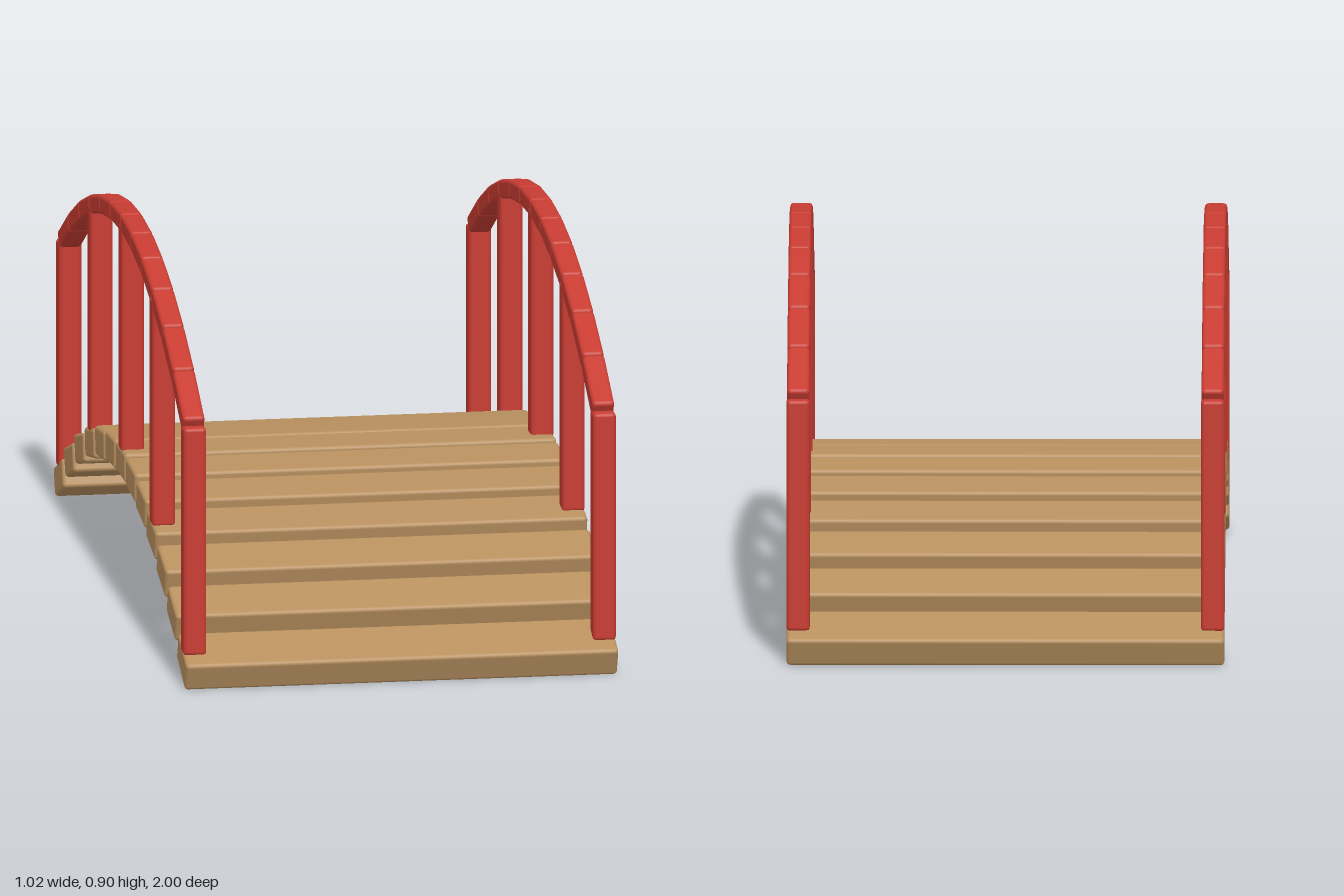
import * as THREE from 'three';
import { RoundedBoxGeometry } from 'three/addons/geometries/RoundedBoxGeometry.js';

const END = 0.925;      // z of the last plank
const DROP = 0.257;     // fall of the arch from middle to end
const arch = (z) => -DROP * (z / END) ** 2;

export function createModel() {
  const bridge = new THREE.Group();
  bridge.name = 'archedFootbridge';
  const wood = new THREE.MeshStandardMaterial({ color: 0xb8905f });
  const red = new THREE.MeshStandardMaterial({ color: 0xc83c32 });

  // Block with small softened edges
  function block(name, material, size, position, tilt = 0) {
    const mesh = new THREE.Mesh(new RoundedBoxGeometry(...size, 2, 0.009), material);
    mesh.name = name;
    mesh.position.set(...position);
    mesh.rotation.x = tilt;
    bridge.add(mesh);
  }

  // Deck: 13 separate planks, tilting more towards the ends
  for (let i = -6; i <= 6; i++) {
    const z = (i / 6) * END;
    const tilt = THREE.MathUtils.degToRad(22) * (i / 6);
    block('plank', wood, [1.016, 0.07, 0.136], [0, 0.315 + arch(z), z], tilt);
  }

  for (const side of [-1, 1]) {
    // Five upright posts
    for (let i = -2; i <= 2; i++) {
      const z = (i / 2) * 0.935;
      const bottom = 0.342 + arch(z);
      const top = 0.885 + arch(z);
      block('post', red, [0.054, top - bottom, 0.054], [side * 0.481, (top + bottom) / 2, z]);
    }

    // Handrail: 12 straight pieces following the arch
    for (let i = -6; i < 6; i++) {
      const z0 = (i / 6) * 0.935;
      const z1 = ((i + 1) / 6) * 0.935;
      const y0 = 0.885 + arch(z0);
      const y1 = 0.885 + arch(z1);
      const length = Math.hypot(z1 - z0, y1 - y0);
      block('handrail', red, [0.052, 0.045, length],
        [side * 0.481, (y0 + y1) / 2, (z0 + z1) / 2], -Math.atan2(y1 - y0, z1 - z0));
    }
  }
  return bridge;
}
